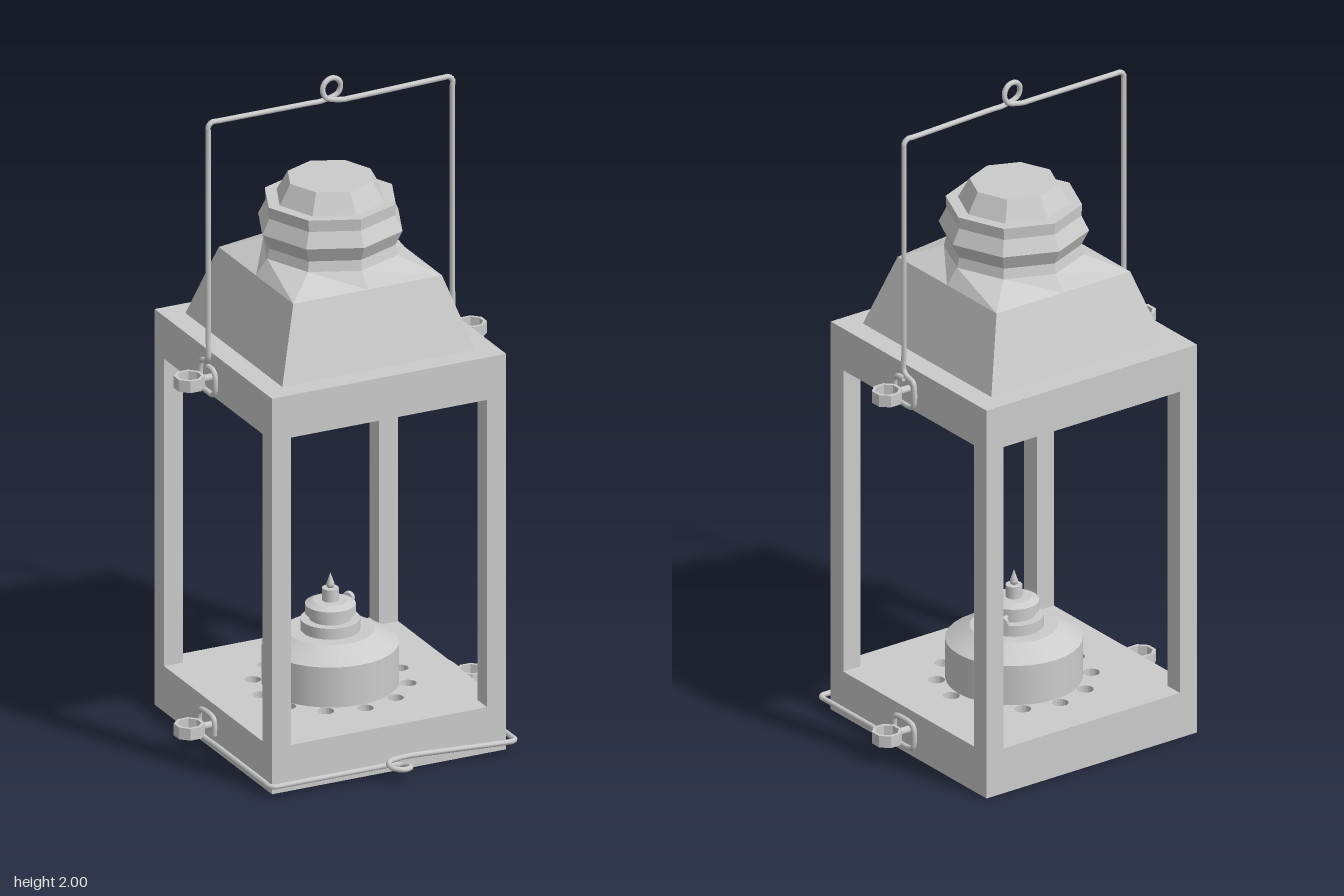
import * as THREE from 'three';

const CZ = -0.055; // depth of the lantern's axis
const metal = new THREE.MeshStandardMaterial({ color: 0xcccccc, side: THREE.DoubleSide });
const faceted = new THREE.MeshStandardMaterial({ color: 0xcccccc, flatShading: true, side: THREE.DoubleSide });

function add(parent, name, geometry, material, x = 0, y = 0, z = 0) {
  const mesh = new THREE.Mesh(geometry, material);
  mesh.name = name;
  mesh.position.set(x, y, z);
  parent.add(mesh);
  return mesh;
}

// Eight-point rings [y, radius, isSquare] joined into a faceted shell
function ringShell(rings) {
  const point = ([y, r, square], i) => {
    const k = square && i % 2 ? r * Math.SQRT2 : r;
    const a = (i * Math.PI) / 4;
    return [k * Math.cos(a), y, k * Math.sin(a)];
  };
  const pos = [];
  for (let j = 0; j < rings.length - 1; j++) {
    for (let i = 0; i < 8; i++) {
      const a = point(rings[j], i), b = point(rings[j + 1], i);
      const c = point(rings[j + 1], i + 1), d = point(rings[j], i + 1);
      pos.push(...a, ...b, ...c, ...a, ...c, ...d);
    }
  }
  const g = new THREE.BufferGeometry();
  g.setAttribute('position', new THREE.Float32BufferAttribute(pos, 3));
  g.computeVertexNormals();
  return g;
}

// Lathe whose profile segments keep sharp edges
function sharpLathe(profile, segments) {
  const pts = [];
  profile.forEach(([r, y], i) => {
    const p = new THREE.Vector2(r, y);
    pts.push(p);
    if (i > 0 && i < profile.length - 1) pts.push(p.clone());
  });
  const group = new THREE.Group();
  for (let i = 0; i < pts.length; i += 2) {
    add(group, 'burnerBand', new THREE.LatheGeometry([pts[i], pts[i + 1]], segments), metal);
  }
  return group;
}

// Wire bail in its own plane: hook, side, loop in the middle, side, hook
function bailGeometry(halfWidth, height, hook, wireZ, skew) {
  const pts = [];
  const V = (x, y, z) => pts.push(new THREE.Vector3(x, y, z));
  const w = halfWidth, c = 0.012, r = 0.031;
  for (const [y, z] of [...hook].reverse()) V(-w, y, z);
  V(-w, 0.13, wireZ);
  V(-w, height - 0.03, wireZ);
  V(-w, height - c, wireZ);
  V(-w + c, height, wireZ);
  V(-w + 0.03, height, wireZ);
  V(-0.06, height, wireZ);
  V(-0.03, height, wireZ);
  for (let i = 0; i <= 12; i++) {
    const a = -0.9 + (i / 12) * (Math.PI + 1.8);
    V(r * Math.cos(a), height + 0.037 + r * Math.sin(a), wireZ + (skew * i) / 12);
  }
  V(0.03, height, wireZ + skew);
  V(0.06, height, wireZ + skew);
  V(w - 0.03, height, wireZ);
  V(w - c, height, wireZ);
  V(w, height - c, wireZ);
  V(w, height - 0.03, wireZ);
  V(w, 0.13, wireZ);
  for (const [y, z] of hook) V(w, y, z);
  const curve = new THREE.CatmullRomCurve3(pts, false, 'centripetal');
  return new THREE.TubeGeometry(curve, 420, 0.008, 8);
}

function octagon(shape, r) {
  for (let i = 0; i < 8; i++) {
    const a = Math.PI / 8 + (i * Math.PI) / 4;
    shape[i ? 'lineTo' : 'moveTo'](r * Math.cos(a), r * Math.sin(a));
  }
  shape.closePath();
  return shape;
}

export function createModel() {
  const model = new THREE.Group();
  model.name = 'lantern';

  // Base: solid bottom and a floor pierced by a ring of vents
  add(model, 'basePlate', new THREE.BoxGeometry(0.74, 0.05, 0.74), faceted, 0, 0.025, CZ);
  const floor = new THREE.Shape();
  floor.moveTo(-0.37, -0.37);
  floor.lineTo(0.37, -0.37);
  floor.lineTo(0.37, 0.37);
  floor.lineTo(-0.37, 0.37);
  floor.closePath();
  for (let i = 0; i < 12; i++) {
    const a = (i * Math.PI) / 6;
    const hole = new THREE.Path();
    hole.absarc(0.22 * Math.cos(a), 0.22 * Math.sin(a), 0.024, 0, Math.PI * 2, true);
    floor.holes.push(hole);
  }
  const floorGeo = new THREE.ExtrudeGeometry(floor, { depth: 0.09, bevelEnabled: false, curveSegments: 10 });
  floorGeo.rotateX(-Math.PI / 2);
  add(model, 'ventedFloor', floorGeo, faceted, 0, 0.05, CZ);

  // Corner posts and top frame
  for (const sx of [-1, 1]) {
    for (const sz of [-1, 1]) {
      add(model, 'cornerPost', new THREE.BoxGeometry(0.06, 0.94, 0.06), faceted, sx * 0.34, 0.61, CZ + sz * 0.34);
    }
  }
  add(model, 'topFrame', new THREE.BoxGeometry(0.74, 0.13, 0.74), faceted, 0, 1.145, CZ);

  // Square roof blending into the eight-sided chimney
  add(model, 'roof', ringShell([[1.21, 0.305, true], [1.425, 0.235, true]]), faceted, 0, 0, CZ);
  add(model, 'chimney', ringShell([
    [1.425, 0.235, true], [1.47, 0.2], [1.5, 0.193], [1.545, 0.215],
    [1.59, 0.193], [1.625, 0.195], [1.625, 0.16], [1.685, 0.127], [1.685, 0],
  ]), faceted, 0, 0, CZ);

  // Oil burner
  const burner = new THREE.Group();
  burner.name = 'burner';
  burner.position.set(0, 0.14, CZ);
  model.add(burner);
  const body = sharpLathe([
    [0.195, 0], [0.195, 0.122], [0.125, 0.162], [0.085, 0.162], [0.085, 0.195],
    [0.06, 0.195], [0.06, 0.212], [0.072, 0.212], [0.072, 0.24], [0.05, 0.25], [0, 0.25],
  ], 32);
  body.name = 'oilTank';
  burner.add(body);
  add(burner, 'wickTube', new THREE.CylinderGeometry(0.024, 0.024, 0.05, 12), metal, 0, 0.262, 0);
  const flame = [[0, 0], [0.01, 0.005], [0.012, 0.015], [0.006, 0.032], [0, 0.05]];
  add(burner, 'flame', new THREE.LatheGeometry(flame.map((p) => new THREE.Vector2(...p)), 10), metal, 0, 0.284, 0);
  const knob = new THREE.Group();
  knob.name = 'wickKnob';
  knob.position.y = 0.216;
  knob.rotation.y = Math.PI / 5;
  burner.add(knob);
  add(knob, 'knobShaft', new THREE.CylinderGeometry(0.007, 0.007, 0.05, 8), metal, 0.085, 0, 0).rotation.z = Math.PI / 2;
  add(knob, 'knobHead', new THREE.CylinderGeometry(0.018, 0.018, 0.014, 12), metal, 0.11, 0, 0).rotation.z = Math.PI / 2;

  // Thumb screws that hold the bails
  const ring = octagon(new THREE.Shape(), 0.044);
  ring.holes.push(octagon(new THREE.Path(), 0.034));
  const ringGeo = new THREE.ExtrudeGeometry(ring, { depth: 0.036, bevelEnabled: false });
  ringGeo.translate(0, 0, -0.018);
  ringGeo.rotateX(Math.PI / 2);
  for (const y of [0.077, 1.14]) {
    for (const s of [-1, 1]) {
      add(model, 'screwShaft', new THREE.CylinderGeometry(0.011, 0.011, 0.05, 10), metal, s * 0.385, y, CZ).rotation.z = Math.PI / 2;
      add(model, 'screwRing', ringGeo, faceted, s * 0.446, y, CZ);
    }
  }

  // Carrying handle standing up, and lower bail lying forward
  const upperHook = [[0.06, 0], [0.048, -0.015], [0.04, -0.042], [0.025, -0.048], [-0.025, -0.048], [-0.04, -0.038],
    [-0.043, 0], [-0.04, 0.032], [-0.025, 0.043], [0.02, 0.043], [0.033, 0.032], [0.035, 0]];
  const lowerHook = [[0.06, 0.042], [-0.03, 0.042], [-0.045, 0.035], [-0.05, 0.02], [-0.05, -0.02], [-0.042, -0.034],
    [-0.025, -0.038], [0.025, -0.038], [0.04, -0.032], [0.044, -0.015], [0.042, 0.015]];
  add(model, 'carryingHandle', bailGeometry(0.386, 0.78, upperHook, 0, 0.016), metal, 0, 1.14, CZ);
  add(model, 'lowerBail', bailGeometry(0.388, 0.4, lowerHook, 0.042, -0.016), metal, 0, 0.077, CZ).rotation.x = Math.PI / 2;

  return model;
}
